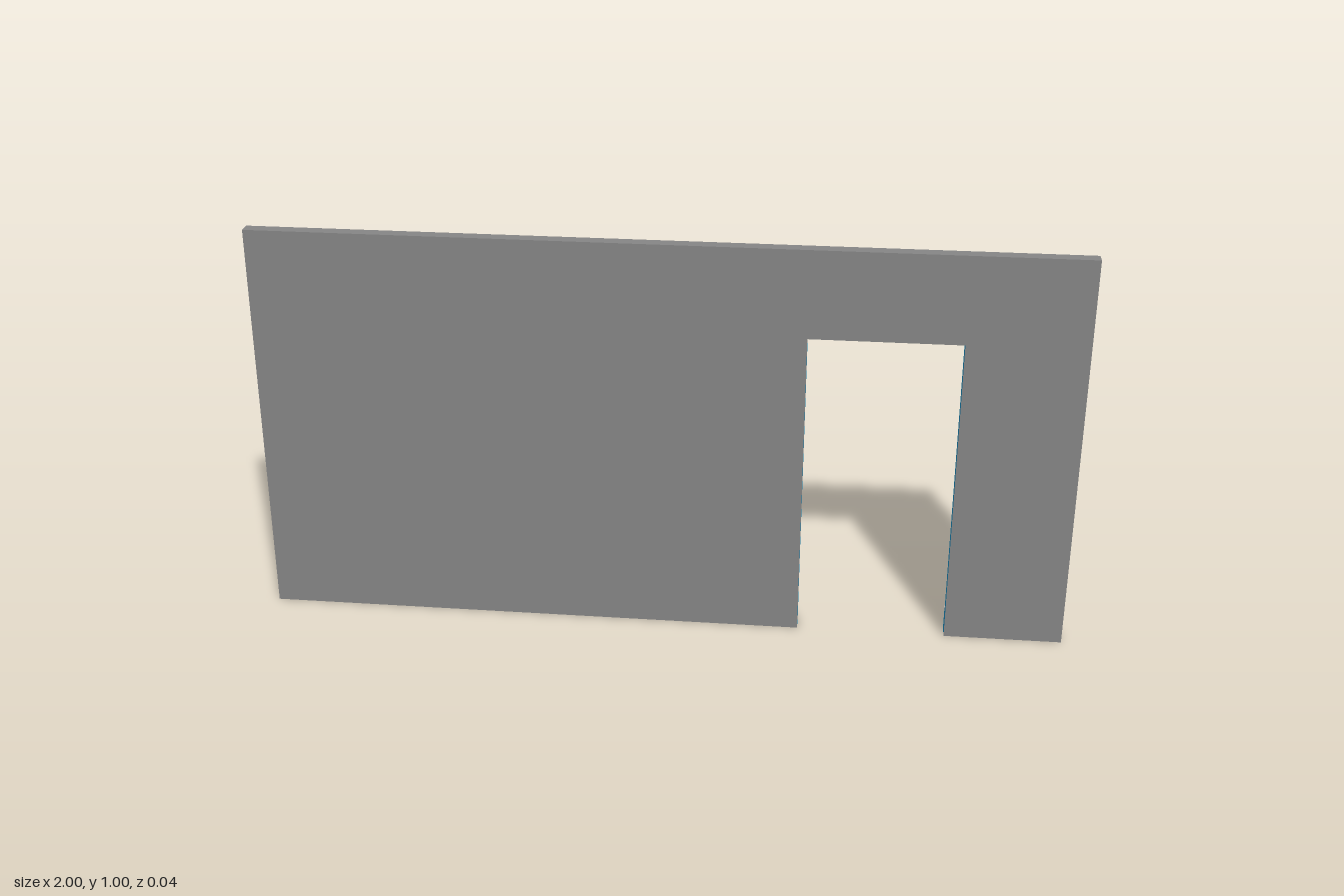
import * as THREE from 'three';

const mat = (name, color) => {
  const m = new THREE.MeshStandardMaterial({ color });
  m.name = name;
  return m;
};

// Box between two corners; faces are listed as +x, -x, +y, -y, +z, -z, null leaves a face out
function block(name, [x0, x1], [y0, y1], [z0, z1], faces) {
  const geo = new THREE.BoxGeometry(x1 - x0, y1 - y0, z1 - z0);
  geo.translate((x0 + x1) / 2, (y0 + y1) / 2, (z0 + z1) / 2);
  const all = Array.from(geo.index.array);
  const index = [];
  geo.clearGroups();
  faces.forEach((face, i) => {
    if (!face) return;
    geo.addGroup(index.length, 6, i);
    index.push(...all.slice(i * 6, i * 6 + 6));
  });
  geo.setIndex(index);
  const spare = faces.find(Boolean);
  const mesh = new THREE.Mesh(geo, faces.map((f) => f || spare));
  mesh.name = name;
  return mesh;
}

export function createModel() {
  const grey = mat('wallGrey', 0x868686);
  const blue = mat('paintBlue', 0x209ad0);
  const light = mat('skirtingGrey', 0xcacaca);

  const top = 1.005, doorTop = 0.785, skirtTop = 0.064;
  const doorLeft = 0.343, doorRight = 0.71;
  const front = 0.02, back = -0.012, skirtBack = -0.02;
  const wallZ = [back, front];

  const group = new THREE.Group();
  group.name = 'wallWithDoorway';

  // Piers on both sides of the doorway, each with its foot and skirting board
  const piers = [
    { side: 'right', x: [-1, doorLeft], ends: (outer) => [blue, outer] },
    { side: 'left', x: [doorRight, 1], ends: (outer) => [outer, blue] },
  ];
  for (const { side, x, ends } of piers) {
    group.add(
      block(`${side}Pier`, x, [skirtTop, doorTop], wallZ, [...ends(grey), null, null, grey, blue]),
      block(`${side}Foot`, x, [0, skirtTop], wallZ, [...ends(light), null, light, grey, null]),
      block(`${side}Skirting`, x, [0, skirtTop], [skirtBack, back], [...ends(light), light, light, null, light]),
    );
  }

  // Band across the top of the wall
  group.add(block('topBand', [-1, 1], [doorTop, top], wallZ, [grey, grey, grey, null, grey, blue]));

  // Underside of the doorway head
  const head = new THREE.Mesh(new THREE.PlaneGeometry(doorRight - doorLeft, front - back), blue);
  head.name = 'doorwayHead';
  head.rotation.x = Math.PI / 2;
  head.position.set((doorLeft + doorRight) / 2, doorTop, (front + back) / 2);
  group.add(head);

  return group;
}
